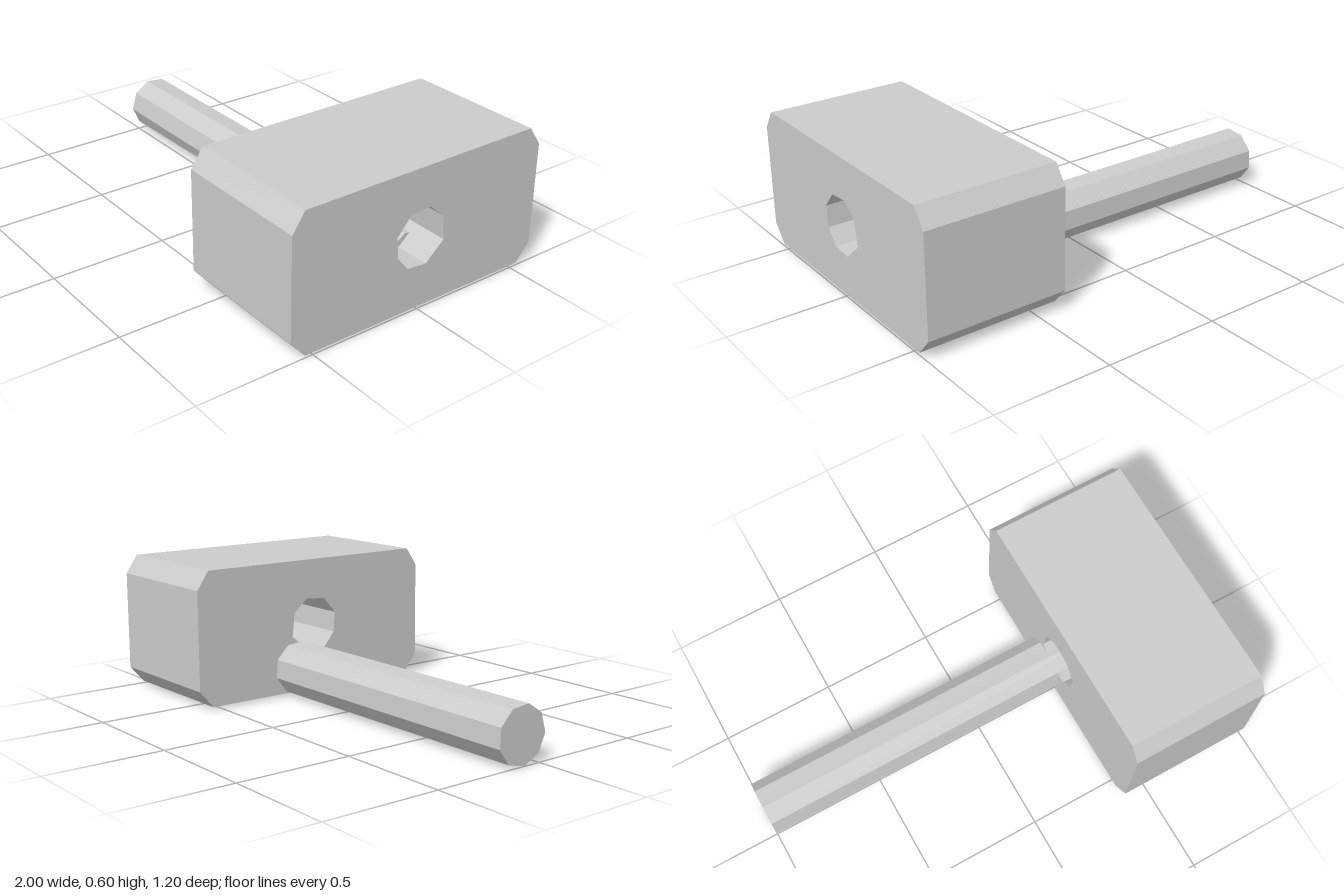
import * as THREE from 'three';

const material = new THREE.MeshStandardMaterial({ color: 0xcccccc, flatShading: true });

// Extrudes a (z, y) outline along x from x0 to x1
function prism(name, outline, x0, x1, hole) {
  const toPoints = (list) => list.map(([z, y]) => new THREE.Vector2(-z, y));
  const shape = new THREE.Shape(toPoints(outline));
  if (hole) shape.holes.push(new THREE.Path(toPoints(hole)));
  const geometry = new THREE.ExtrudeGeometry(shape, { depth: x1 - x0, bevelEnabled: false });
  geometry.rotateY(Math.PI / 2).translate(x0, 0, 0);
  const mesh = new THREE.Mesh(geometry, material);
  mesh.name = name;
  return mesh;
}

export function createModel() {
  const model = new THREE.Group();
  model.name = 'mallet';

  // Block head with chamfered long edges and a rough eight-sided bore
  const headOutline = [
    [0.545, 0.6], [0.6, 0.52], [0.6, 0.085], [0.535, 0.01],
    [-0.535, 0.01], [-0.6, 0.085], [-0.6, 0.52], [-0.545, 0.6],
  ];
  const bore = [
    [0.057, 0.417], [-0.037, 0.426], [-0.106, 0.367], [-0.118, 0.262],
    [-0.032, 0.187], [0.058, 0.195], [0.11, 0.257], [0.118, 0.347],
  ];
  model.add(prism('head', headOutline, 0.39, 1, bore));

  // Nine-sided handle, set low and off centre, running into the head
  const section = [];
  for (let i = 0; i < 9; i++) {
    const a = THREE.MathUtils.degToRad(76 + i * 40);
    section.push([-0.09 + 0.12 * Math.cos(a), 0.12 + 0.12 * Math.sin(a)]);
  }
  const handle = prism('handle', section, -1, 0.85);

  // The lower front edge and the bottom edge rise slightly towards the head
  const p = handle.geometry.attributes.position;
  for (let i = 0; i < p.count; i++) {
    if (p.getX(i) < 0) continue;
    const y = p.getY(i), z = p.getZ(i);
    if (y < 0.06 && z > -0.04) p.setXYZ(i, p.getX(i), 0.083, 0.02);
    else if (y < 0.01) p.setY(i, 0.01);
  }
  handle.geometry.computeVertexNormals();
  model.add(handle);

  return model;
}
